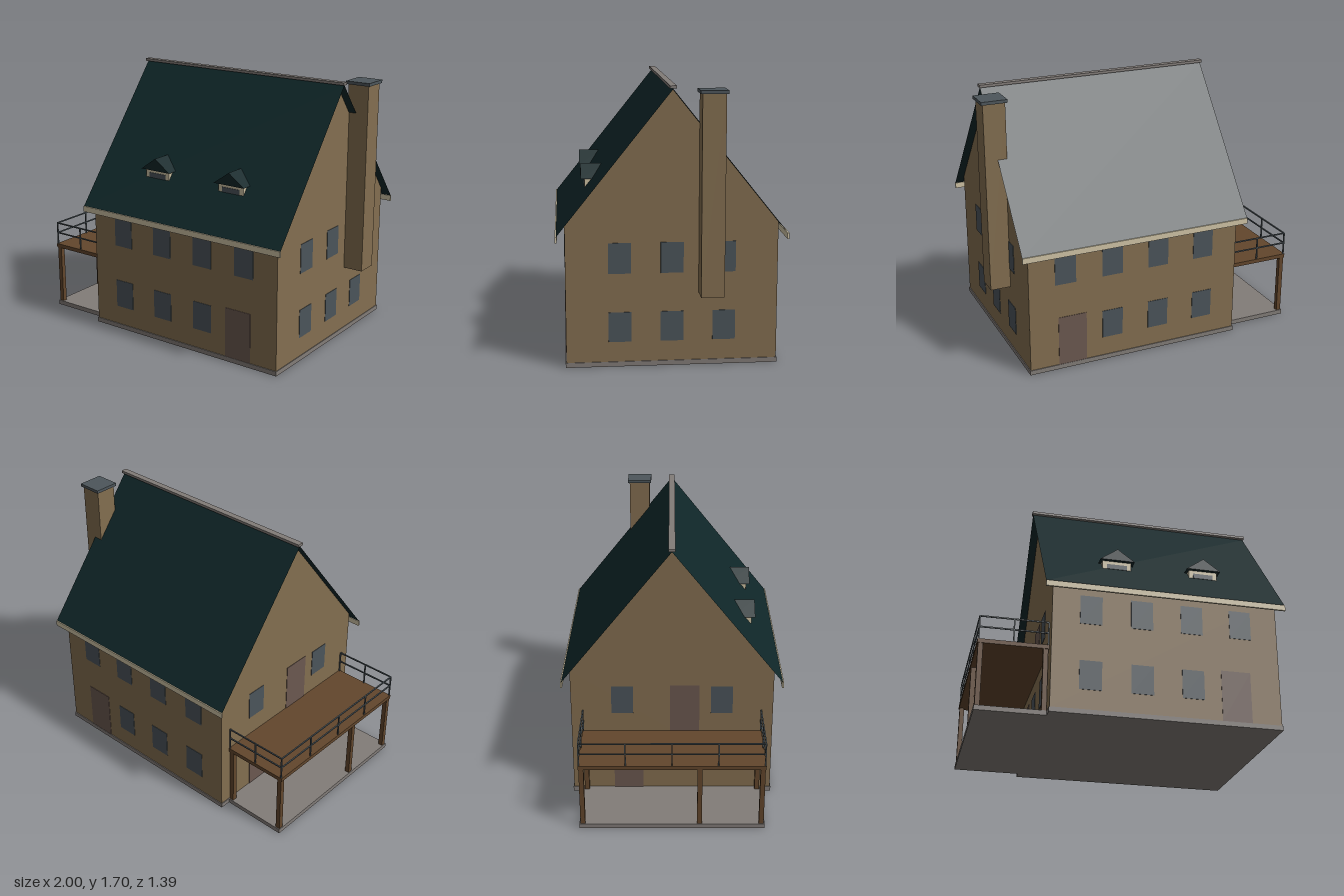
import * as THREE from 'three';

const material = (name, color, extra = {}) => {
  const m = new THREE.MeshStandardMaterial({ color, ...extra });
  m.name = name;
  return m;
};

export function createModel() {
  const wall = material('tan wall', 0x836e50);
  const roof = material('dark green roof', 0x0f2628, { side: THREE.DoubleSide });
  const cream = material('cream trim', 0xcfc3a5);
  const stone = material('grey stone', 0x827c78);
  const glass = material('blue grey glass', 0x4b545a);
  const doorPaint = material('brown door', 0x6b5850);
  const wood = material('brown wood', 0x62462c);
  const slate = material('slate metal', 0x4d565b);

  const house = new THREE.Group();
  house.name = 'house';

  const add = (name, geometry, mat, parent = house) => {
    const mesh = new THREE.Mesh(geometry, mat);
    mesh.name = name;
    parent.add(mesh);
    return mesh;
  };
  // Box given by its limits on each axis
  const box = (name, mat, [x0, x1], [y0, y1], [z0, z1], parent = house) => {
    const mesh = add(name, new THREE.BoxGeometry(x1 - x0, y1 - y0, z1 - z0), mat, parent);
    mesh.position.set((x0 + x1) / 2, (y0 + y1) / 2, (z0 + z1) / 2);
    return mesh;
  };
  const group = (name) => {
    const g = new THREE.Group();
    g.name = name;
    house.add(g);
    return g;
  };
  const polygon = (points) => new THREE.Shape(points.map(([x, y]) => new THREE.Vector2(x, y)));

  const X0 = -0.57, X1 = 0.855, Z = 0.64;
  const EAVE = 0.88, APEX = 1.68, SLOPE = 1.25;

  // Foundation under the house and the deck
  box('foundation', stone, [X0 - 0.005, X1 + 0.005], [0, 0.03], [-Z - 0.005, Z + 0.005]);
  box('patio', stone, [-1, X0 - 0.005], [0, 0.03], [-0.575, 0.575]);

  // Gabled body, extruded along x
  const bodyShape = polygon([[-Z, 0.03], [Z, 0.03], [Z, EAVE], [0, APEX], [-Z, EAVE]]);
  const bodyGeometry = new THREE.ExtrudeGeometry(bodyShape, { depth: X1 - X0, bevelEnabled: false });
  bodyGeometry.rotateY(Math.PI / 2);
  add('walls', bodyGeometry, wall).position.x = X0;

  // Thin roof slopes with eave boards
  const R0 = -0.62, R1 = 0.905, RZ = 0.69;
  const drop = RZ * SLOPE;
  for (const side of [1, -1]) {
    const slope = new THREE.PlaneGeometry(R1 - R0, Math.hypot(RZ, drop));
    slope.rotateX(-Math.atan2(RZ, drop));
    if (side < 0) slope.rotateY(Math.PI);
    add('roofSlope', slope, roof).position.set((R0 + R1) / 2, APEX - drop / 2 + 0.004, side * RZ / 2);
    box('eaveBoard', cream, [R0, R1], [0.785, 0.822], side > 0 ? [0.685, 0.697] : [-0.697, -0.685]);
  }
  box('ridgeCap', stone, [-0.625, 0.912], [1.686, 1.703], [-0.02, 0.02]);

  // Chimney
  box('chimney', wall, [0.845, 0.985], [0.455, 1.662], [-0.3, -0.16]);
  box('chimneyCap', slate, [0.833, 0.997], [1.662, 1.682], [-0.312, -0.148]);

  // Thin window and door plates, placed by centre along each wall
  const T = 0.003;
  const onWall = (name, mat, face, centre, width, y0, y1) => {
    const along = [centre - width / 2, centre + width / 2];
    const across = {
      front: [Z, Z + T], back: [-Z - T, -Z], right: [X1, X1 + T], left: [X0 - T, X0],
    }[face];
    const endWall = face === 'right' || face === 'left';
    box(name, mat, endWall ? across : along, [y0, y1], endWall ? along : across);
  };
  const windowAt = (face, c, upper) =>
    onWall('window', glass, face, c, 0.138, upper ? 0.58 : 0.155, upper ? 0.768 : 0.34);

  for (const face of ['front', 'back']) {
    for (const c of [-0.33, -0.013, 0.302, 0.615]) windowAt(face, c, true);
    for (const c of [-0.33, -0.013, 0.302]) windowAt(face, c, false);
    onWall('door', doorPaint, face, 0.573, 0.187, 0.03, 0.356);
  }
  for (const c of [-0.315, 0, 0.315]) {
    windowAt('right', c, true);
    windowAt('right', c, false);
  }
  for (const c of [-0.315, 0.315]) windowAt('left', c, true);
  for (const c of [0, 0.315]) windowAt('left', c, false);
  onWall('deckDoor', doorPaint, 'left', 0.08, 0.187, 0.45, 0.775);
  onWall('patioDoor', doorPaint, 'left', -0.28, 0.187, 0.03, 0.356);

  // Small gabled dormers on the front slope
  for (const cx of [-0.142, 0.428]) {
    const dormer = group('dormer');
    dormer.position.x = cx;
    box('dormerWalls', cream, [-0.093, 0.093], [1.043, 1.102], [0.4, 0.511], dormer);
    box('dormerWindow', glass, [-0.065, 0.065], [1.045, 1.078], [0.511, 0.514], dormer);
    const gable = new THREE.ExtrudeGeometry(
      polygon([[-0.112, 1.1], [0.112, 1.1], [0, 1.18]]), { depth: 0.155, bevelEnabled: false });
    add('dormerRoof', gable, roof, dormer).position.z = 0.38;
  }

  // Raised deck on posts
  const deck = group('deck');
  const D = 0.572;
  box('deckFloor', wood, [-1, X0], [0.424, 0.45], [-D, D], deck);
  const post = (x, z) =>
    box('deckPost', wood, [x - 0.015, x + 0.015], [0.03, 0.424], [z - 0.015, z + 0.015], deck);
  for (const z of [-0.553, 0.553]) for (const x of [-0.98, -0.59]) post(x, z);
  post(-0.98, 0.17);

  // Railing round the three open sides
  const railing = group('railing');
  const RX = -0.992, RE = -0.575, r = 0.004, zr = 0.566;
  const upright = (x, z) => box('railPost', slate, [x - r, x + r], [0.45, 0.6], [z - r, z + r], railing);
  for (const y of [0.53, 0.6]) {
    const h = [y - r, y + r];
    for (const z of [-zr, zr]) box('sideRail', slate, [RX, RE], h, [z - r, z + r], railing);
    box('longRail', slate, [RX - r, RX + r], h, [-zr, zr], railing);
  }
  for (const z of [-zr, zr]) for (const x of [-0.784, RE]) upright(x, z);
  for (let i = 0; i <= 4; i++) upright(RX, -zr + (i * zr) / 2);

  return house;
}
